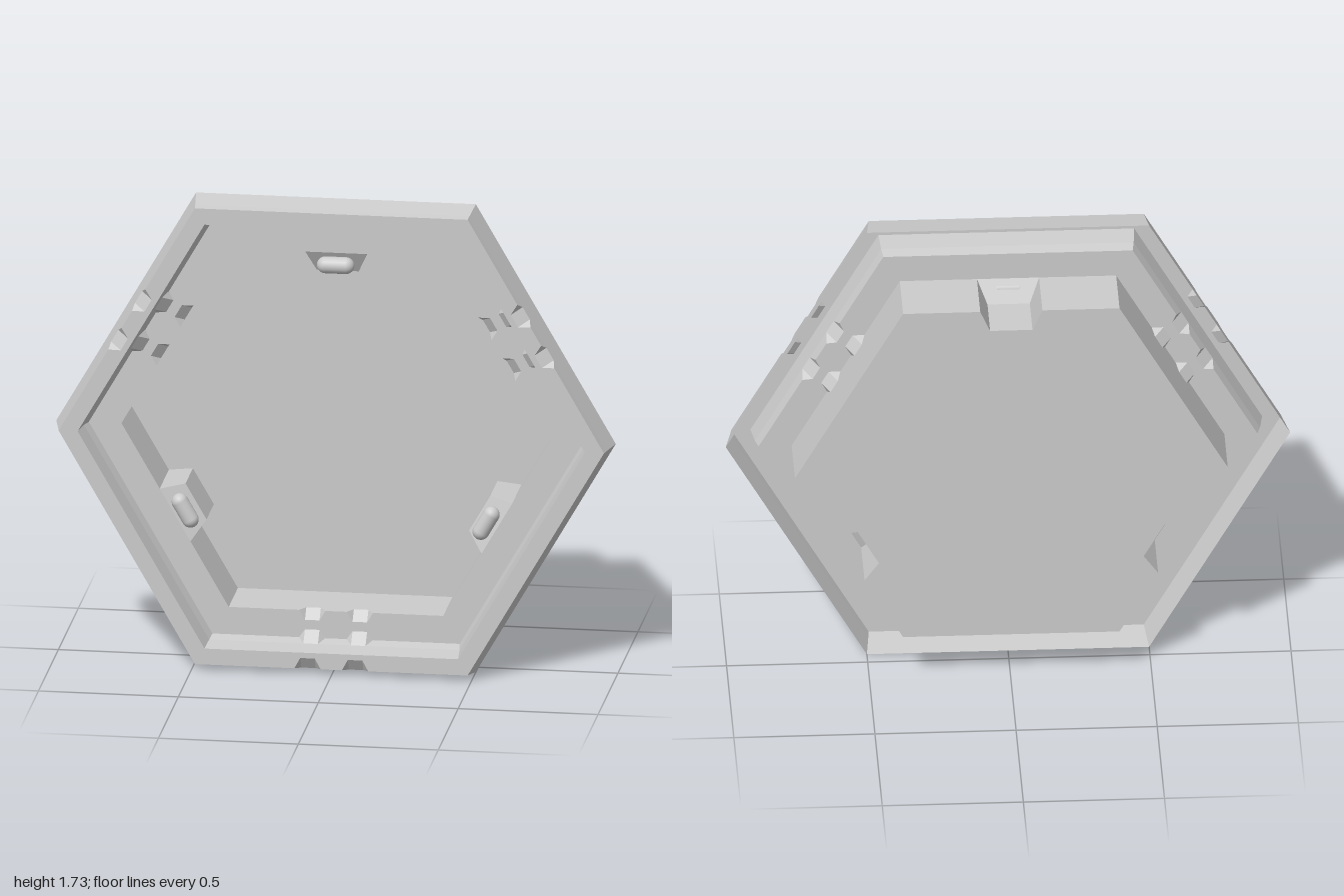
import * as THREE from 'three';

const material = new THREE.MeshStandardMaterial({ color: 0xcccccc, flatShading: true, side: THREE.DoubleSide });
const smooth = new THREE.MeshStandardMaterial({ color: 0xcccccc });
const TAN30 = Math.tan(Math.PI / 6);
const BACK = -0.174, BODY = 0.664;             // floor depth, body apothem
const CRADLE = { outer: 0.11, inner: 0.075, a: 0.585, z: 0.01, top: 0.055 };

// Cross-section of the formed sheet: [distance from centre, z, is a notchable corner]
const PROFILE = [
  [0.866, 0.055], [0.849, 0.145], [0.844, 0.174, true],
  [0.805, 0.174], [0.785, 0.174], [0.775, 0.095], [0.765, 0.055, true],
  [0.735, 0.055], [0.7, 0.055], [BODY, 0.055, true], [BODY, 0.02], [BODY, BACK],
];

// Flat-shaded mesh from a list of corner points, three per triangle
function sheet(name, points) {
  const geometry = new THREE.BufferGeometry().setFromPoints(points);
  geometry.computeVertexNormals();
  const mesh = new THREE.Mesh(geometry, material);
  mesh.name = name;
  return mesh;
}
const quad = (a, b, c, d) => [a, b, c, a, c, d];
const V = (x, y, z) => new THREE.Vector3(x, y, z);

// One side of the hexagon, facing +y; stations run along x
function side(name, stations, hasCradle) {
  const sections = stations.map(({ t, end, notched }) => PROFILE.map(([a, z, corner], i) => {
    if (notched && corner) {                    // flatten the corner between its neighbours
      a = (PROFILE[i - 1][0] + PROFILE[i + 1][0]) / 2;
      z = (PROFILE[i - 1][1] + PROFILE[i + 1][1]) / 2;
    }
    return V(end ? end * a * TAN30 : t, a, z);
  }));
  const points = [];
  for (let s = 0; s < sections.length - 1; s++) {
    for (let j = 0; j < PROFILE.length - 1; j++) {
      if (hasCradle && s === 1 && j >= 9) continue; // opening for the cradle
      const a = sections[s][j], b = sections[s][j + 1];
      const d = sections[s + 1][j], c = sections[s + 1][j + 1];
      // Diagonal passes through the corner that is not flattened
      if (!!PROFILE[j][2] === !stations[s].notched) points.push(a, b, c, a, c, d);
      else points.push(a, b, d, b, c, d);
    }
  }
  return sheet(name, points);
}

// Inward pocket with a sloping seat and a capsule-shaped rest
function cradle() {
  const group = new THREE.Group();
  group.name = 'cradle';
  const { outer, inner, a, z, top } = CRADLE;
  const points = [
    ...quad(V(-outer, BODY, top), V(-inner, a, z), V(inner, a, z), V(outer, BODY, top)),
    ...quad(V(-inner, a, z), V(-inner, a, BACK), V(inner, a, BACK), V(inner, a, z)),
    ...quad(V(-outer, BODY, top), V(-outer, BODY, BACK), V(-inner, a, BACK), V(-inner, a, z)),
    ...quad(V(outer, BODY, top), V(inner, a, z), V(inner, a, BACK), V(outer, BODY, BACK)),
  ];
  const rest = new THREE.Mesh(new THREE.CapsuleGeometry(0.03, 0.074, 8, 20), smooth);
  rest.name = 'capsuleRest';
  rest.rotation.z = Math.PI / 2;
  rest.position.set(0, 0.621, 0.064);
  group.add(sheet('cradleWalls', points), rest);
  return group;
}

// Hexagonal floor with a trapezoid bite on every cradle side
function floor() {
  const outline = [];
  for (let k = 0; k < 6; k++) {
    const angle = k * Math.PI / 3;
    const local = [[BODY * TAN30, BODY]];
    if (k % 2 === 0) {
      const { outer, inner, a } = CRADLE;
      local.push([outer, BODY], [inner, a], [-inner, a], [-outer, BODY]);
    }
    for (const [x, y] of local) outline.push(new THREE.Vector2(x, y).rotateAround(new THREE.Vector2(), angle));
  }
  const mesh = new THREE.Mesh(new THREE.ShapeGeometry(new THREE.Shape(outline)), material);
  mesh.name = 'floor';
  mesh.position.z = BACK;
  return mesh;
}

export function createModel() {
  const model = new THREE.Group();
  model.name = 'hexagonalTray';
  const tray = new THREE.Group();
  tray.name = 'tray';
  tray.position.y = 0.866;
  model.add(tray);

  // Pairs of bevelled notches on alternate sides
  const notchStations = [{ end: -1 }];
  for (const c of [-0.085, 0.085]) {
    for (const [offset, notched] of [[-0.047, false], [-0.026, true], [0.026, true], [0.047, false]]) {
      notchStations.push({ t: c + offset, notched });
    }
  }
  notchStations.push({ end: 1 });
  const cradleStations = [{ end: -1 }, { t: -CRADLE.outer }, { t: CRADLE.outer }, { end: 1 }];

  for (let k = 0; k < 6; k++) {
    const hasCradle = k % 2 === 0;
    const part = new THREE.Group();
    part.name = hasCradle ? 'cradleSide' : 'notchedSide';
    part.rotation.z = k * Math.PI / 3;
    part.add(side('rimAndWall', hasCradle ? cradleStations : notchStations, hasCradle));
    if (hasCradle) part.add(cradle());
    tray.add(part);
  }
  tray.add(floor());
  return model;
}
